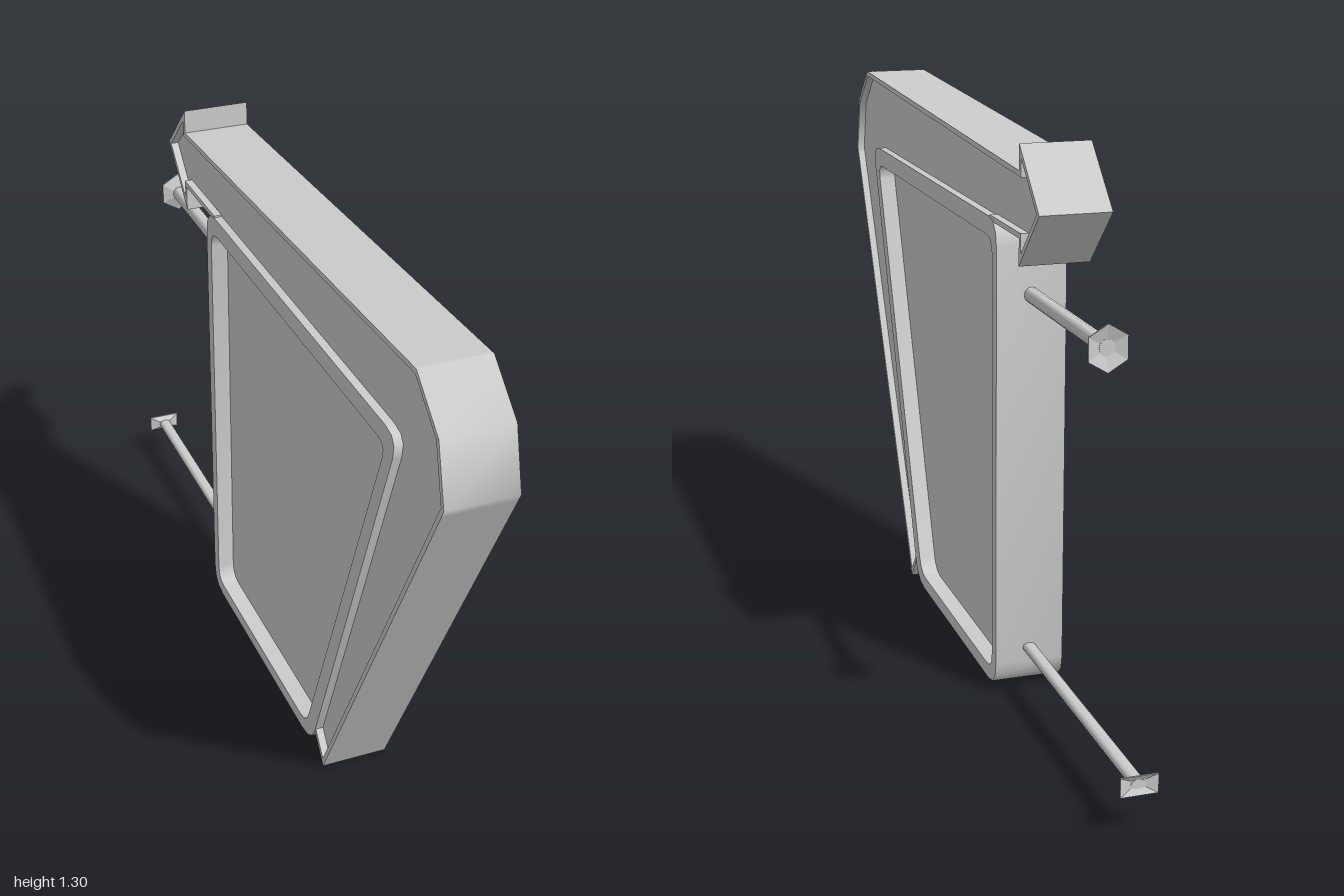
import * as THREE from 'three';
import { toCreasedNormals } from 'three/addons/utils/BufferGeometryUtils.js';

const grey = new THREE.MeshStandardMaterial({ color: 0xcccccc });
const V = (z, y) => new THREE.Vector2(z, y);

function add(parent, geometry, name) {
  const mesh = new THREE.Mesh(geometry, grey);
  mesh.name = name;
  parent.add(mesh);
  return mesh;
}

// Side profile in (z, y), extruded symmetrically across x.
function slab(outline, width, hole) {
  // Mirroring z reverses the winding, so the order is reversed back.
  const flip = pts => pts.map(p => V(-p.x, p.y)).reverse();
  const shape = new THREE.Shape(flip(outline));
  if (hole) shape.holes.push(new THREE.Path(flip(hole)));
  const geo = new THREE.ExtrudeGeometry(shape, { depth: width, bevelEnabled: false });
  geo.translate(0, 0, -width / 2);
  geo.rotateY(Math.PI / 2);
  return toCreasedNormals(geo, 0.9);
}

// Move every edge of a counter-clockwise polygon inwards by d, with mitred corners.
function inset(pts, d) {
  const n = pts.length;
  const normal = (a, b) => {
    const e = b.clone().sub(a).normalize();
    return V(-e.y, e.x);
  };
  return pts.map((p, i) => {
    const n1 = normal(pts[(i + n - 1) % n], p);
    const n2 = normal(p, pts[(i + 1) % n]);
    return p.clone().addScaledVector(n1.clone().add(n2), d / (1 + n1.dot(n2)));
  });
}

// Round polygon corners, cutting each one at distance r from the corner.
function rounded(pts, r, steps = 3) {
  const n = pts.length;
  return pts.flatMap((p, i) => {
    const toward = q => p.clone().add(q.clone().sub(p).setLength(r));
    const a = toward(pts[(i + n - 1) % n]);
    const b = toward(pts[(i + 1) % n]);
    return new THREE.QuadraticBezierCurve(a, p, b).getPoints(steps);
  });
}

// Wall bracket: a rod running backwards, ending in a small dished plate.
function bracket(name, y, end, rx, ry, sides, px, py, turn) {
  const g = new THREE.Group();
  g.name = name;
  const start = -0.29;
  const tip = end + 0.007;
  const rod = new THREE.CylinderGeometry(1, 1, start - tip, 12);
  rod.rotateX(Math.PI / 2);
  rod.scale(rx, ry, 1);
  add(g, toCreasedNormals(rod, 0.75), 'rod').position.set(0, y, (start + tip) / 2);

  const profile = [V(0, 0), V(0.4, 0), V(1, 0.01), V(1, 0.014), V(0.4, 0.006), V(0, 0.006)];
  const plate = new THREE.LatheGeometry(profile, sides, turn);
  plate.rotateX(-Math.PI / 2);
  plate.scale(px, py, 1);
  add(g, toCreasedNormals(plate, 0.1), 'wallPlate').position.set(0, y, end + 0.014);
  return g;
}

export function createModel() {
  const model = new THREE.Group();
  model.name = 'hangingArrowSign';

  // Bent arrow: recessed face framed by a thin raised rim
  const arrow = new THREE.Group();
  arrow.name = 'arrow';
  const arrowOutline = [
    V(0.45, 0), V(0.99, 1.0555), V(1, 1.075), V(0.965, 1.21), V(0.86, 1.3), V(0.85, 1.2996),
    V(-0.462, 1.243), V(-0.462, 1.299), V(-0.592, 1.172), V(-0.462, 1.042), V(-0.462, 1.102),
    V(-0.27, 1.102), V(-0.27, 1.085), V(0.715, 1.085), V(0.75, 1.045), V(0.385, 0.078),
    V(0.4, 0.06),
  ];
  const arrowInner = inset(arrowOutline, 0.012);
  add(arrow, slab(arrowOutline, 0.158, arrowInner), 'arrowRim');
  add(arrow, slab(arrowInner, 0.122), 'arrowFace');
  model.add(arrow);

  // Sign panel: deep recessed board inside a rounded frame
  const panel = new THREE.Group();
  panel.name = 'panel';
  const frameOuter = rounded([V(0.797, 1.111), V(-0.312, 1.111), V(-0.312, 0.015), V(0.38, 0.015)], 0.06);
  const frameInner = rounded([V(0.742, 1.067), V(-0.28, 1.067), V(-0.28, 0.048), V(0.345, 0.048)], 0.04);
  add(panel, slab(frameOuter, 0.161, frameInner), 'panelFrame');
  add(panel, slab(frameInner, 0.08), 'panelBoard');
  model.add(panel);

  // Two wall brackets: hexagonal plate above, rectangular plate below
  model.add(bracket('upperBracket', 0.942, -0.785, 0.017, 0.018, 6, 0.048, 0.05, 0));
  model.add(bracket('lowerBracket', 0.108, -1, 0.016, 0.011, 4, 0.057, 0.03, Math.PI / 4));

  return model;
}
